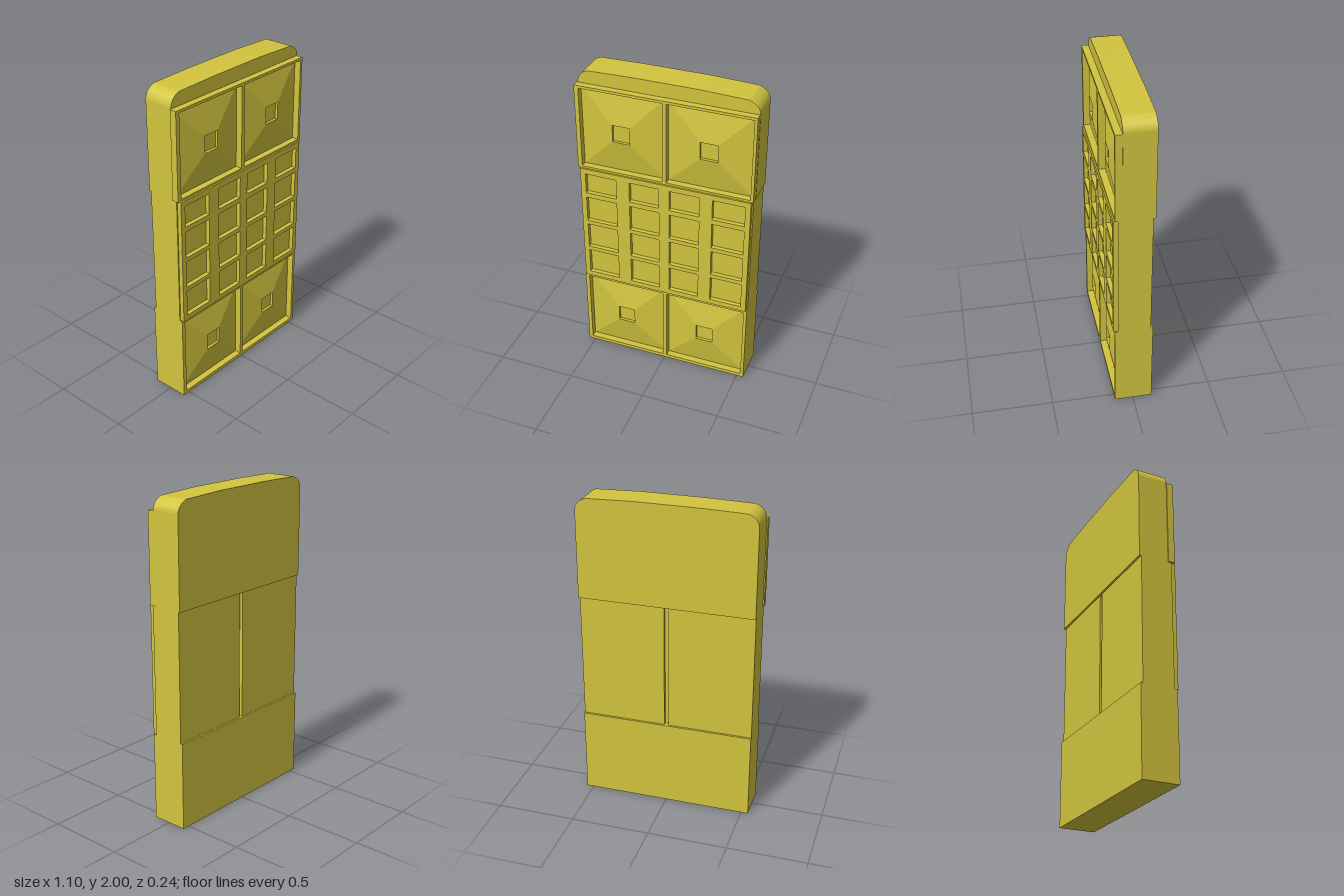
import * as THREE from 'three';

const mat = new THREE.MeshStandardMaterial({ color: 0xd2c43e, flatShading: true });

export function createModel() {
  const model = new THREE.Group();
  model.name = 'panelledSlab';

  const add = (name, geometry, parent = model) => {
    const mesh = new THREE.Mesh(geometry, mat);
    mesh.name = name;
    parent.add(mesh);
    return mesh;
  };

  // Box given by its limits on each axis
  const block = (name, x0, x1, y0, y1, z0, z1) =>
    add(name, new THREE.BoxGeometry(x1 - x0, y1 - y0, z1 - z0))
      .position.set((x0 + x1) / 2, (y0 + y1) / 2, (z0 + z1) / 2);

  const rect = (target, x0, x1, y0, y1) => {
    target.moveTo(x0, y0).lineTo(x1, y0).lineTo(x1, y1).lineTo(x0, y1).closePath();
    return target;
  };

  // Plate with rectangular openings, between two depths
  const plate = (name, [x0, x1, y0, y1], holes, z0, z1) => {
    const shape = rect(new THREE.Shape(), x0, x1, y0, y1);
    for (const h of holes) shape.holes.push(rect(new THREE.Path(), ...h));
    const geo = new THREE.ExtrudeGeometry(shape, { depth: z1 - z0, bevelEnabled: false });
    add(name, geo.translate(0, 0, z0));
  };

  // Low four-sided pyramid with a small square pit in its tip
  const pyramid = (name, [x0, x1, y0, y1], z) => {
    const profile = [[0.26, 0], [0.055, 0.036], [0.055, 0.018], [0, 0.018]]
      .map(([half, h]) => new THREE.Vector2(half * Math.SQRT2, h));
    const geo = new THREE.LatheGeometry(profile, 4, Math.PI / 4).rotateX(Math.PI / 2);
    geo.scale((x1 - x0) / 0.52, (y1 - y0) / 0.52, 1);
    add(name, geo).position.set((x0 + x1) / 2, (y0 + y1) / 2, z);
  };

  // Upper body with rounded shoulders and a slightly crowned top
  const s = new THREE.Shape();
  s.moveTo(-0.545, 1.36).lineTo(0.55, 1.36).lineTo(0.55, 1.92);
  s.quadraticCurveTo(0.545, 1.965, 0.485, 1.99);
  s.lineTo(0.2, 2).lineTo(-0.2, 2).lineTo(-0.475, 1.994);
  s.quadraticCurveTo(-0.535, 1.98, -0.545, 1.92);
  s.closePath();
  const upper = new THREE.ExtrudeGeometry(s, { depth: 0.19, bevelEnabled: false, curveSegments: 8 });
  add('upperBody', upper.translate(0, 0, -0.12));

  // Framed pyramid panels on the upper and lower sections
  const upperPanels = [[-0.525, -0.01, 1.375, 1.895], [0.015, 0.53, 1.375, 1.895]];
  const lowerPanels = [[-0.52, -0.01, 0.023, 0.537], [0.015, 0.525, 0.023, 0.537]];
  plate('upperFrame', [-0.552, 0.548, 1.362, 1.912], upperPanels, 0.07, 0.112);
  plate('lowerFrame', [-0.545, 0.545, 0, 0.555], lowerPanels, 0.07, 0.112);
  upperPanels.forEach((p) => pyramid('upperPyramid', p, 0.0705));
  lowerPanels.forEach((p) => pyramid('lowerPyramid', p, 0.0705));
  block('lowerBody', -0.545, 0.545, 0, 0.555, -0.12, 0.07);

  // Middle section with a grid of shallow recesses
  const columns = [[-0.505, -0.305], [-0.22, -0.03], [0.035, 0.225], [0.305, 0.505]];
  const rows = [[0.587, 0.758], [0.785, 0.957], [0.985, 1.157], [1.19, 1.325]];
  const cells = rows.flatMap((r) => columns.map((c) => [...c, ...r]));
  block('middleBody', -0.545, 0.545, 0.555, 1.36, -0.085, 0.093);
  plate('middleGrid', [-0.538, 0.538, 0.555, 1.36], cells, 0.093, 0.12);

  // Two back plates with a vertical groove between them
  for (const side of [-1, 1]) {
    const a = side * 0.013, b = side * 0.545;
    block('middleBackPlate', Math.min(a, b), Math.max(a, b), 0.555, 1.36, -0.107, -0.085);
  }

  return model;
}
